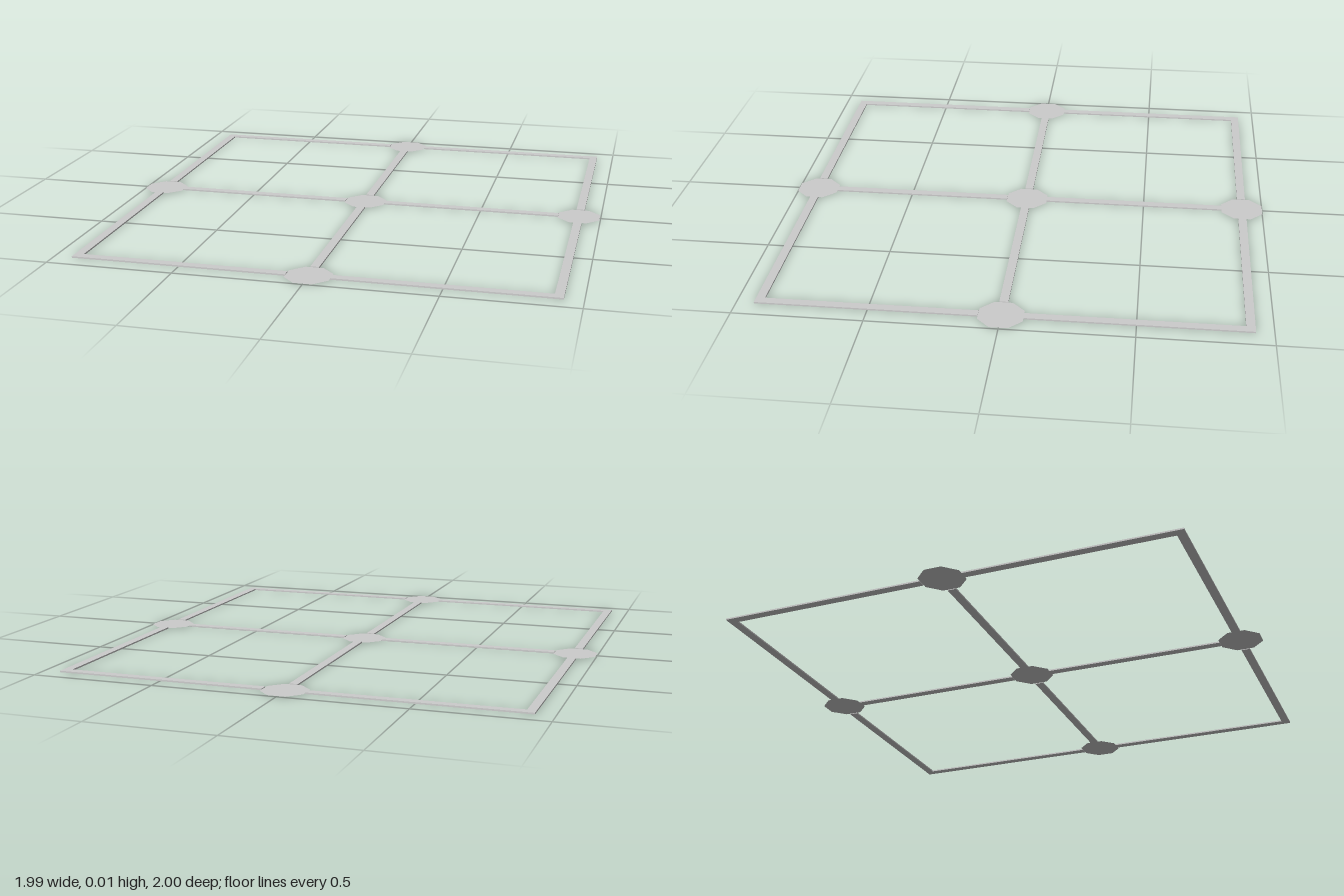
import * as THREE from 'three';

const X = 0.911, Z = 0.915; // half spans between bar centre lines
const W = 0.034, H = 0.006; // bar width and height
const R = 0.092; // octagon plate radius
const GAP = R * Math.cos(Math.PI / 8); // bars stop at the plate's flat side

export function createModel() {
  const group = new THREE.Group();
  const material = new THREE.MeshStandardMaterial({ color: 0xcccccc, flatShading: true, side: THREE.DoubleSide });

  const add = (name, geometry, x, y, z) => {
    const mesh = new THREE.Mesh(geometry, material);
    mesh.name = name;
    mesh.position.set(x, y, z);
    group.add(mesh);
  };

  // bar along x or z between two coordinates, at a fixed offset on the other axis
  const barX = (name, x0, x1, z) =>
    add(name, new THREE.BoxGeometry(x1 - x0, H, W), (x0 + x1) / 2, H / 2, z);
  const barZ = (name, z0, z1, x) =>
    add(name, new THREE.BoxGeometry(W, H, z1 - z0), x, H / 2, (z0 + z1) / 2);

  for (const s of [-1, 1]) {
    // outer frame, each side split by its plate
    barX('frameBar', GAP, X + W / 2, s * Z);
    barX('frameBar', -X - W / 2, -GAP, s * Z);
    barZ('frameBar', GAP, Z - W / 2, s * X);
    barZ('frameBar', -Z + W / 2, -GAP, s * X);
  }

  // inner cross, from the centre plate to the edge plates
  barX('crossBar', GAP, X - GAP, 0);
  barX('crossBar', -X + GAP, -GAP, 0);
  barZ('crossBar', GAP, Z - GAP, 0);
  barZ('crossBar', -Z + GAP, -GAP, 0);

  // flat octagonal plates at the joints
  const plate = new THREE.CircleGeometry(R, 8).rotateZ(Math.PI / 8).rotateX(-Math.PI / 2);
  for (const [x, z] of [[0, 0], [X, 0], [-X, 0], [0, Z], [0, -Z]]) add('jointPlate', plate, x, H / 2, z);

  return group;
}
